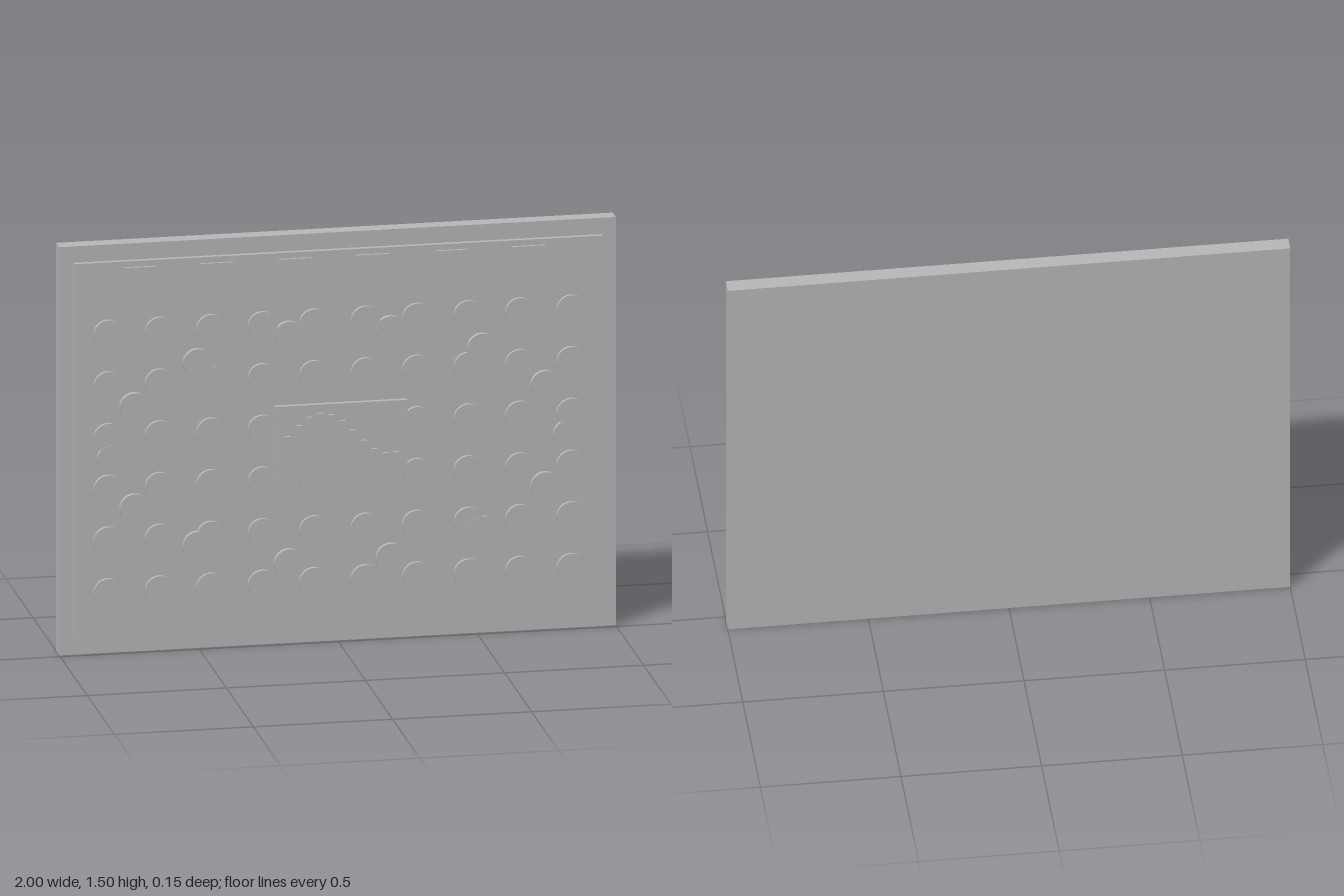
import * as THREE from 'three';

export function createModel() {
  const model = new THREE.Group();
  const grey = new THREE.MeshStandardMaterial({ color: 0xb8b8b8 });
  grey.name = 'plain grey';

  const add = (name, geometry, x, y, z) => {
    const mesh = new THREE.Mesh(geometry, grey);
    mesh.name = name;
    mesh.position.set(x, y, z);
    model.add(mesh);
  };
  const disc = (radius, depth) => new THREE.CylinderGeometry(radius, radius, depth, 24).rotateX(Math.PI / 2);

  // Backing board and raised face panel
  add('backBoard', new THREE.BoxGeometry(2, 1.5, 0.057), 0, 0.75, -0.0445);
  add('facePanel', new THREE.BoxGeometry(1.9, 1.375, 0.019), 0, 0.7525, -0.0065);

  // Regular grid of discs
  const gridDisc = disc(0.053, 0.014);
  for (let row = 0; row < 6; row++) {
    for (let col = 0; col < 10; col++) {
      add('gridDisc', gridDisc, -0.8325 + col * 0.185, 0.2325 + row * 0.19, 0.025);
    }
  }

  // Oval ring of discs
  const ringDisc = disc(0.053, 0.018);
  for (let i = 0; i < 14; i++) {
    const a = (i / 14) * Math.PI * 2;
    add('ringDisc', ringDisc, 0.82 * Math.cos(a), 0.724 + 0.429 * Math.sin(a), 0.025);
  }

  // Row of short bars along the top
  const bar = new THREE.BoxGeometry(0.12, 0.023, 0.01);
  for (let i = 0; i < 6; i++) add('topBar', bar, -0.72 + i * 0.28, 1.413, 0.027);

  // Central display with a wave of small blocks
  add('displayPlate', new THREE.BoxGeometry(0.476, 0.275, 0.019), 0, 0.7525, 0.0425);
  const block = new THREE.BoxGeometry(0.022, 0.022, 0.012);
  for (let i = 0; i < 11; i++) {
    add('waveBlock', block, -0.195 + i * 0.039, 0.772 + 0.08 * Math.sin(i * 0.5), 0.067);
  }

  return model;
}
